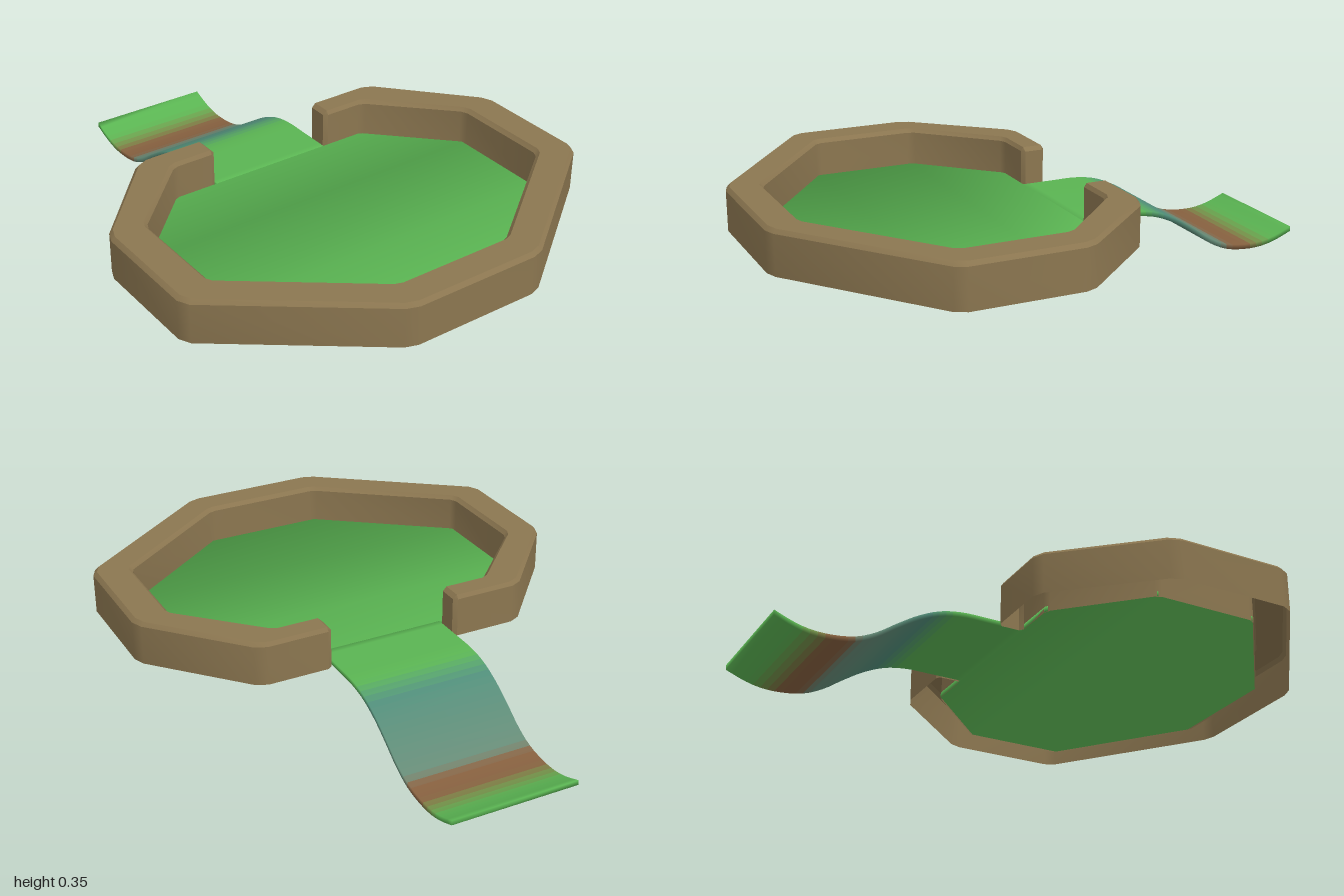
import * as THREE from 'three';
import { toCreasedNormals } from 'three/addons/utils/BufferGeometryUtils.js';

const paint = (color) => new THREE.MeshStandardMaterial({ color, side: THREE.DoubleSide });

function named(name, geometry, color) {
  const mesh = new THREE.Mesh(geometry, paint(color));
  mesh.name = name;
  return mesh;
}

function indexed(points, index) {
  const g = new THREE.BufferGeometry();
  g.setAttribute('position', new THREE.Float32BufferAttribute(points.flat(), 3));
  g.setIndex(index);
  g.computeVertexNormals();
  return g;
}

// Mirrors half of the wall path [x, z], cutting each corner by d
function wallPath(half, d) {
  const pts = [...half, ...half.map(([x, z]) => [-x, z]).reverse()].map((p) => new THREE.Vector2(...p));
  const path = [];
  pts.forEach((p, i) => {
    if (i < 2 || i > pts.length - 3) { path.push(p); return; }
    for (const q of [pts[i - 1], pts[i + 1]]) {
      path.push(p.clone().add(q.clone().sub(p).setLength(d)));
    }
  });
  return path;
}

// Bevelled hollow wall, open underneath, with a gap at the back
function wallGeometry() {
  const outer = wallPath([[0.237, -0.21], [0.252, -0.21], [0.5, -0.21], [0.81, 0.135], [0.81, 0.58], [0.255, 1]], 0.025);
  const inner = wallPath([[0.237, -0.12], [0.252, -0.12], [0.405, -0.12], [0.675, 0.15], [0.675, 0.53], [0.22, 0.875]], 0.015);
  const low = 0.195, top = 0.352, b = 0.014;
  const profile = [[0, low], [0, top - b], [0.1, top], [0.9, top], [1, top - b], [1, low]];
  const n = profile.length, last = outer.length - 1;
  const points = [], index = [];
  outer.forEach((o, i) => {
    const end = i === 0 || i === last;
    for (const [t, y] of profile) {
      const s = end ? THREE.MathUtils.clamp(t, 0.12, 0.88) : t;
      const p = o.clone().lerp(inner[i], s);
      points.push([p.x, end ? Math.min(y, top - b) : y, p.y]);
    }
    if (i === last) return;
    for (let j = 0; j < n - 1; j++) {
      const a = i * n + j, c = a + n;
      index.push(a, a + 1, c + 1, a, c + 1, c);
    }
  });
  // End caps beside the gap
  for (let j = 1; j < n - 1; j++) {
    index.push(0, j + 1, j, last * n, last * n + j, last * n + j + 1);
  }
  return toCreasedNormals(indexed(points, index).toNonIndexed(), 0.5);
}

// Symmetric slab through rows [z, half width, y], running towards -z
const THICK = 0.018;
function slab(rows) {
  const points = [], segments = [];
  rows.forEach(([z, w, y], i) => {
    points.push([-w, y, z], [w, y, z], [w, y - THICK, z], [-w, y - THICK, z]);
    if (i === rows.length - 1) return;
    const seg = [];
    for (let j = 0; j < 4; j++) {
      const a = i * 4 + j, b = i * 4 + ((j + 1) % 4);
      seg.push(a, b, b + 4, a, b + 4, a + 4);
    }
    segments.push(seg);
  });
  const e = points.length - 4;
  segments[0].push(0, 3, 2, 0, 2, 1);
  segments[segments.length - 1].push(e, e + 1, e + 2, e, e + 2, e + 3);
  return { geometry: indexed(points, segments.flat()), segments };
}

// Floor with softened corner normals
function floorGeometry() {
  const rows = [[0.87, 0.22, 0.215], [0.53, 0.67, 0.215], [0.15, 0.67, 0.215], [-0.12, 0.4, 0.215]];
  const tilt = [[0.4, 1], [1, 0.5], [1, -0.4], [0.5, -0.2]];
  const { geometry } = slab(rows);
  const v = new THREE.Vector3();
  for (let i = 0; i < rows.length * 4; i++) {
    const [nx, nz] = tilt[Math.floor(i / 4)];
    const j = i % 4;
    v.set(j === 1 || j === 2 ? nx : -nx, j < 2 ? 1 : -1, nz).normalize();
    geometry.attributes.normal.setXYZ(i, v.x, v.y, v.z);
  }
  return geometry;
}

// Ramp colour along its length
const stops = [[-0.12, 0x5ab452], [-0.36, 0x5ab452], [-0.46, 0x4f8c78], [-0.7, 0x678a76],
  [-0.74, 0x86603f], [-0.81, 0x86603f], [-0.92, 0x5ab452], [-1.01, 0x5ab452]];
function rampColor(z) {
  const k = Math.max(1, stops.findIndex((s) => s[0] <= z));
  const [z0, c0] = stops[k - 1], [z1, c1] = stops[k];
  return new THREE.Color(c0).lerp(new THREE.Color(c1), (z - z0) / (z1 - z0));
}

export function createModel() {
  const model = new THREE.Group();
  model.add(named('wall', wallGeometry(), 0x8b7650));
  model.add(named('floor', floorGeometry(), 0x5ab452));

  // Wavy ramp leaving through the gap, in coloured strips
  const curve = new THREE.CatmullRomCurve3([[-0.12, 0.215], [-0.24, 0.215], [-0.34, 0.214], [-0.42, 0.2],
    [-0.5, 0.166], [-0.58, 0.116], [-0.65, 0.068], [-0.72, 0.036], [-0.8, 0.023], [-0.87, 0.024],
    [-0.93, 0.037], [-1, 0.064]].map(([z, y]) => new THREE.Vector3(0, y, z)));
  const rows = curve.getSpacedPoints(36).map((p) => [p.z, 0.232, p.y]);
  const { geometry, segments } = slab(rows);
  const ramp = new THREE.Group();
  ramp.name = 'ramp';
  segments.forEach((seg, i) => {
    const strip = geometry.clone().setIndex(seg);
    ramp.add(named('rampStrip', strip, rampColor((rows[i][0] + rows[i + 1][0]) / 2)));
  });
  model.add(ramp);
  return model;
}
